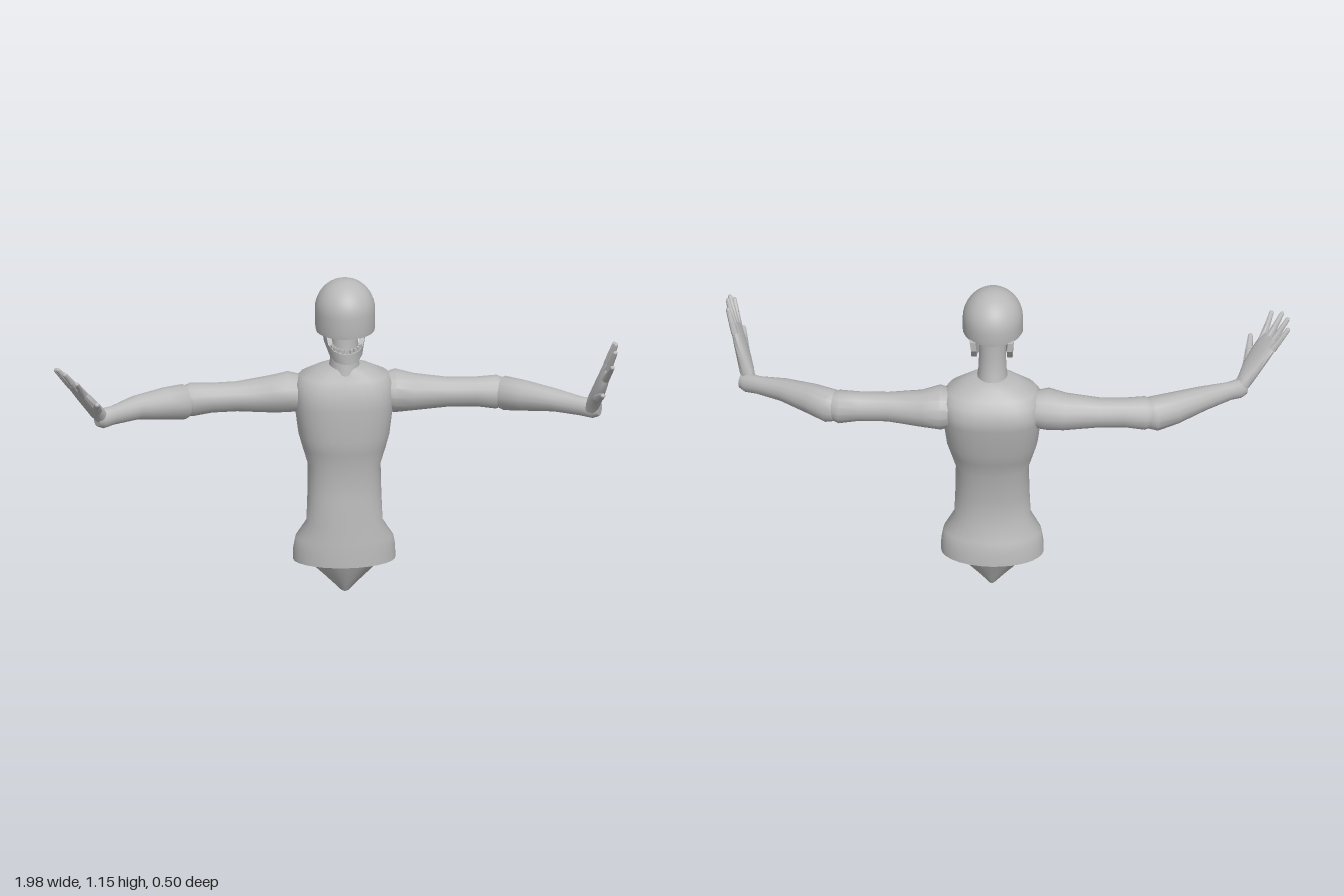
import * as THREE from 'three';
import { mergeVertices, toCreasedNormals } from 'three/addons/utils/BufferGeometryUtils.js';

const grey = new THREE.MeshStandardMaterial({ color: 0xb9b9b9, side: THREE.DoubleSide });
grey.name = 'plain grey';
const V = (x, y, z) => new THREE.Vector3(x, y, z);
const CX = 0.035; // body centre line

function part(name, geometry, crease = 0.7) {
  const mesh = new THREE.Mesh(toCreasedNormals(geometry, crease), grey);
  mesh.name = name;
  return mesh;
}

// Skin a list of equal-length rings and close both ends; faces are turned outward.
function loft(rings, capped = true) {
  const n = rings[0].length, pts = rings.flat(), idx = [];
  for (let r = 0; r < rings.length - 1; r++) {
    for (let i = 0; i < n; i++) {
      const a = r * n + i, b = r * n + (i + 1) % n;
      idx.push(a, b, b + n, a, b + n, a + n);
    }
  }
  if (capped) {
    const last = (rings.length - 1) * n;
    for (let i = 1; i < n - 1; i++) idx.push(0, i + 1, i, last, last + i, last + i + 1);
  }
  const mid = pts.reduce((s, p) => s.add(p), V(0, 0, 0)).divideScalar(pts.length);
  let volume = 0;
  for (let i = 0; i < idx.length; i += 3) {
    const [a, b, c] = [0, 1, 2].map(k => pts[idx[i + k]].clone().sub(mid));
    volume += a.dot(b.cross(c));
  }
  if (volume < 0) idx.reverse();
  const g = new THREE.BufferGeometry().setFromPoints(pts);
  g.setIndex(idx);
  g.computeVertexNormals();
  return g;
}

// Rounded-box ring lying flat at height y.
function flatRing(y, x0, x1, z0, z1, power = 2.5, n = 28) {
  const f = t => Math.sign(t) * Math.abs(t) ** (2 / power);
  return Array.from({ length: n }, (_, i) => {
    const a = i / n * Math.PI * 2;
    return V((x0 + x1) / 2 + (x1 - x0) / 2 * f(Math.cos(a)), y,
      (z0 + z1) / 2 + (z1 - z0) / 2 * f(Math.sin(a)));
  });
}

// Oval limb through stations [x, y, z, half height, half depth].
function limb(stations, n = 14) {
  return loft(stations.map((s, k) => {
    const p = stations[Math.max(0, k - 1)], q = stations[Math.min(stations.length - 1, k + 1)];
    const t = V(q[0] - p[0], q[1] - p[1], q[2] - p[2]).normalize();
    const side = V(0, 1, 0).cross(t).normalize(), up = t.clone().cross(side);
    return Array.from({ length: n }, (_, i) => {
      const a = i / n * Math.PI * 2;
      return V(s[0], s[1], s[2]).addScaledVector(up, Math.sin(a) * s[3])
        .addScaledVector(side, Math.cos(a) * s[4]);
    });
  }));
}

// Tapered digit with a rounded tip, running through points [side, length].
function digit(name, points, r0, r1) {
  const group = new THREE.Group();
  group.name = name;
  for (let i = 0; i < points.length - 1; i++) {
    const a = V(...points[i], 0), b = V(...points[i + 1], 0), d = b.clone().sub(a);
    const k = points.length - 1, r = j => r0 + (r1 - r0) * j / k;
    const bone = part(name + 'Joint', new THREE.CylinderGeometry(r(i + 1), r(i), d.length(), 9, 1), 1);
    bone.position.copy(a).add(b).multiplyScalar(0.5);
    bone.quaternion.setFromUnitVectors(V(0, 1, 0), d.normalize());
    const tip = part(name + 'End', new THREE.SphereGeometry(r(i + 1), 9, 6), 2);
    tip.position.copy(b);
    group.add(bone, tip);
  }
  return group;
}

// Hand: local x points to the thumb side, local y along the fingers.
function hand(name, wrist, along, toThumb) {
  const u = along.normalize();
  const s = toThumb.addScaledVector(u, -toThumb.dot(u)).normalize();
  const group = new THREE.Group();
  group.name = name;
  group.add(part('palm', loft([
    [-0.015, 0, 0.022, 0.022], [0.03, 0, 0.03, 0.025], [0.075, 0.006, 0.046, 0.023],
    [0.13, 0.006, 0.054, 0.02], [0.175, 0.004, 0.056, 0.016], [0.2, 0.003, 0.046, 0.01],
  ].map(([y, c, w, t]) => flatRing(y, c - w, c + w, -t, t, 2.4, 16)))));
  const fingers = [
    [[0.046, 0.175], [0.064, 0.225], [0.084, 0.27]],
    [[0.017, 0.185], [0.022, 0.24], [0.027, 0.29]],
    [[-0.013, 0.18], [-0.017, 0.235], [-0.02, 0.286]],
    [[-0.04, 0.17], [-0.049, 0.215], [-0.056, 0.258]],
  ];
  fingers.forEach(f => group.add(digit('finger', f, 0.0135, 0.008)));
  group.add(digit('thumb', [[0.025, 0.06], [0.075, 0.115], [0.115, 0.16]], 0.019, 0.009));
  group.setRotationFromMatrix(new THREE.Matrix4().makeBasis(s, u, s.clone().cross(u)));
  group.position.copy(wrist);
  return group;
}

export function createModel() {
  const model = new THREE.Group();
  model.name = 'figure';

  // Torso from waist line to neck base: [y, half width, back z, front z, squareness]
  model.add(part('torso', loft([
    [0.105, 0.18, -0.215, 0.015, 2], [0.15, 0.179, -0.211, 0.013, 2], [0.19, 0.172, -0.2, 0.01, 2],
    [0.25, 0.134, -0.173, 0.004, 2.2], [0.35, 0.13, -0.178, -0.003, 2.4], [0.46, 0.128, -0.187, -0.014, 2.4],
    [0.52, 0.146, -0.208, 0.002, 2.4], [0.57, 0.16, -0.226, 0.006, 2.5], [0.68, 0.174, -0.242, 0.006, 2.7],
    [0.715, 0.175, -0.249, 0.004, 2.8], [0.76, 0.172, -0.232, -0.008, 2.7], [0.785, 0.155, -0.212, -0.018, 2.5],
    [0.815, 0.098, -0.18, -0.032, 2.2], [0.83, 0.052, -0.155, -0.036, 2],
  ].map(([y, w, b, f, p]) => flatRing(y, CX - w, CX + w, b, f, p)))));

  // Pelvis wedge narrowing to a blunt tip
  model.add(part('pelvis', loft([
    [0.108, 0.14, -0.213, 0.013], [0.09, 0.115, -0.202, 0.004],
    [0.04, 0.062, -0.178, -0.02], [0, 0.02, -0.156, -0.044],
  ].map(([y, w, b, f]) => flatRing(y, CX - w, CX + w, b, f, 2)))));

  // Neck
  model.add(part('neck', loft([
    [0.8, 0.058, -0.163, -0.026], [0.85, 0.05, -0.146, -0.036],
    [0.92, 0.047, -0.136, -0.044], [1.0, 0.05, -0.14, -0.046],
  ].map(([y, w, b, f]) => flatRing(y, CX - w, CX + w, b, f, 2)))));

  // Cranium: dome with a rim that steps up at the back
  const profile = [[0, 0.985], [0.9, 0.98], [0.985, 0.972], [1, 0.985], [1, 1.045]];
  for (let i = 1; i <= 10; i++) {
    const a = i / 10 * Math.PI / 2;
    profile.push([Math.cos(a), 1.045 + 0.11 * Math.sin(a)]);
  }
  const dome = new THREE.LatheGeometry(profile.map(p => new THREE.Vector2(Math.max(p[0], 0), p[1])), 40);
  const pos = dome.attributes.position;
  for (let i = 0; i < pos.count; i++) {
    const z = pos.getZ(i) * 0.12 - 0.06, y = pos.getY(i);
    const step = THREE.MathUtils.clamp((-0.035 - z) / 0.05, 0, 1);
    pos.setXYZ(i, CX + pos.getX(i) * 0.106, y < 1 ? y + 0.026 * step : y, z);
  }
  dome.deleteAttribute('normal');
  dome.deleteAttribute('uv');
  const skull = mergeVertices(dome, 1e-5);
  skull.computeVertexNormals();
  model.add(part('cranium', skull));

  // Jaw: horseshoe band, stations [x, z, bottom y, top y], mirrored
  const half = [
    [0.077, -0.163, 0.968, 1.002], [0.078, -0.13, 0.925, 1.004], [0.077, -0.095, 0.915, 1.0],
    [0.07, -0.06, 0.903, 0.965], [0.062, -0.015, 0.89, 0.928], [0.045, 0.025, 0.88, 0.918],
    [0.022, 0.045, 0.876, 0.914],
  ];
  const arch = [...half, [0, 0.05, 0.875, 0.912], ...half.slice().reverse().map(([x, ...r]) => [-x, ...r])];
  model.add(part('jaw', loft(arch.map(([x, z, y0, y1]) => {
    const x1 = x * 0.74, z1 = z - 0.022 * Math.max(0, 1 - Math.abs(x) / 0.08);
    return [V(CX + x * 0.93, y0, z), V(CX + x, y1, z), V(CX + x1, y1, z1), V(CX + x1 * 0.93, y0, z1)];
  })), 0.6));

  // Lower teeth
  for (let i = 0; i < 9; i++) {
    const a = (i - 4) / 4 * 1.15;
    const tooth = part('tooth', new THREE.BoxGeometry(0.011, 0.018, 0.01));
    tooth.position.set(CX + 0.053 * Math.sin(a), 0.917 + 0.012 * (1 - Math.cos(a)), -0.025 + 0.063 * Math.cos(a));
    tooth.rotation.y = a;
    model.add(tooth);
  }

  // Right arm
  model.add(part('rightUpperArm', limb([
    [-0.08, 0.71, -0.13, 0.06, 0.06], [-0.16, 0.716, -0.132, 0.072, 0.08], [-0.22, 0.708, -0.135, 0.066, 0.068],
    [-0.34, 0.704, -0.13, 0.053, 0.053], [-0.43, 0.703, -0.125, 0.053, 0.051], [-0.5, 0.7, -0.121, 0.06, 0.058],
    [-0.53, 0.7, -0.115, 0.05, 0.045],
  ])));
  model.add(part('rightForearm', limb([
    [-0.505, 0.695, -0.125, 0.05, 0.045], [-0.53, 0.694, -0.115, 0.063, 0.06], [-0.6, 0.7, -0.085, 0.057, 0.056],
    [-0.7, 0.708, -0.03, 0.043, 0.043], [-0.79, 0.702, 0.03, 0.034, 0.028], [-0.825, 0.7, 0.052, 0.036, 0.03],
    [-0.845, 0.7, 0.062, 0.026, 0.022],
  ])));
  model.add(hand('rightHand', V(-0.83, 0.708, 0.055), V(-0.155, 0.22, 0.125), V(0.6, -0.3, 0.73)));

  // Left arm
  model.add(part('leftUpperArm', limb([
    [0.15, 0.71, -0.13, 0.06, 0.06], [0.215, 0.712, -0.13, 0.077, 0.085], [0.28, 0.705, -0.13, 0.066, 0.066],
    [0.4, 0.704, -0.123, 0.053, 0.05], [0.5, 0.703, -0.122, 0.053, 0.05], [0.57, 0.7, -0.123, 0.06, 0.058],
    [0.6, 0.7, -0.115, 0.05, 0.045],
  ])));
  model.add(part('leftForearm', limb([
    [0.575, 0.695, -0.125, 0.05, 0.045], [0.6, 0.697, -0.115, 0.061, 0.058], [0.67, 0.7, -0.075, 0.054, 0.053],
    [0.77, 0.7, -0.022, 0.041, 0.041], [0.86, 0.69, 0.02, 0.034, 0.027], [0.9, 0.688, 0.038, 0.036, 0.03],
    [0.922, 0.688, 0.048, 0.026, 0.022],
  ])));
  model.add(hand('leftHand', V(0.895, 0.7, 0.05), V(0.075, 0.255, 0.115), V(-0.15, -0.4, 0.9)));

  return model;
}
